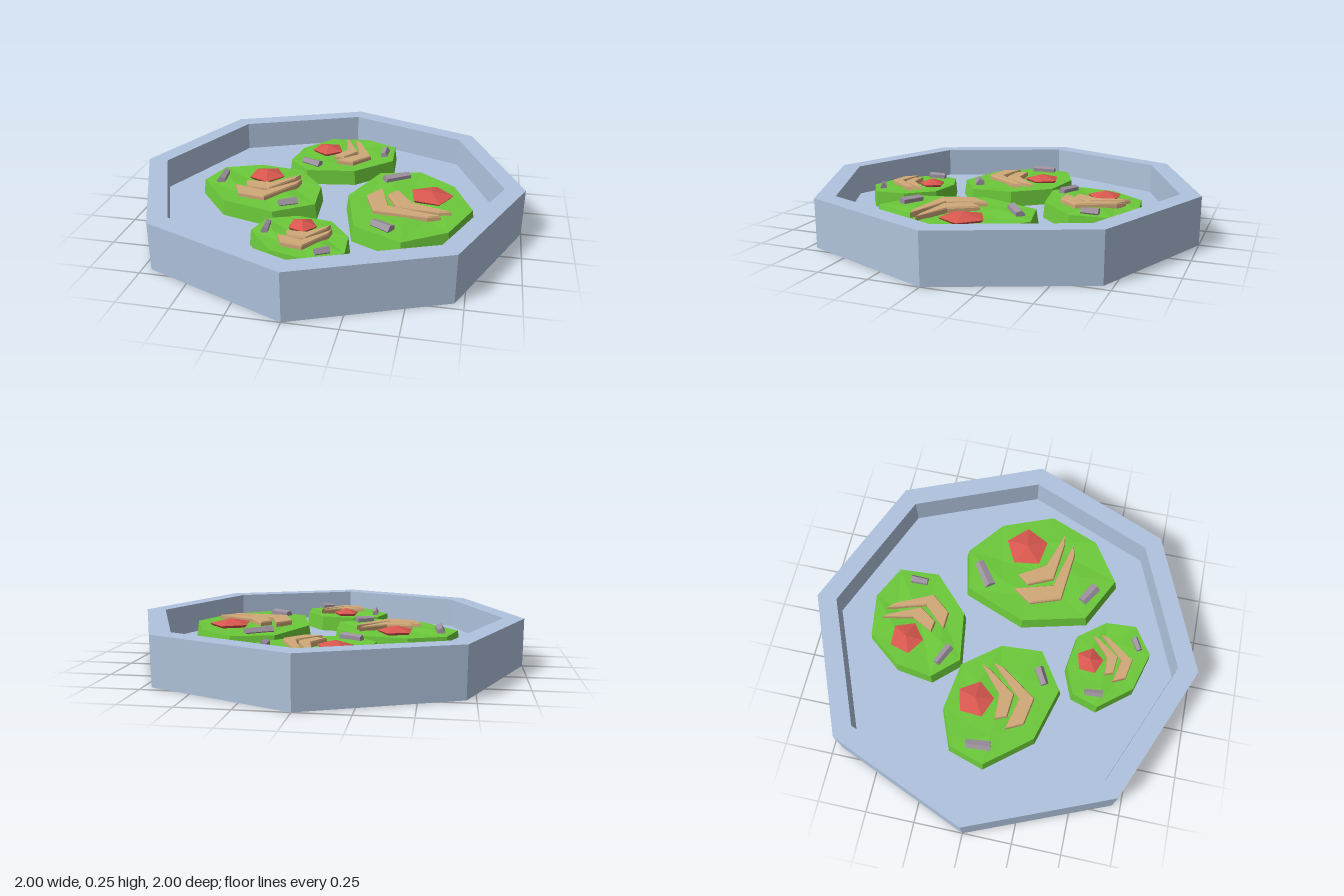
import * as THREE from 'three';

const FLOOR = 0.088, TOP = 0.168;
const mat = (color) => new THREE.MeshStandardMaterial({ color, flatShading: true });

// Closes a stack of equal-sized rings (clockwise from above) with a fan at the top
function loft(rings, apex) {
  const n = rings[0].length, index = [], last = (rings.length - 1) * n;
  for (let i = 0; i < n; i++) {
    const j = (i + 1) % n;
    for (let r = 0; r < last; r += n) index.push(r + j, r + i, n + r + i, r + j, n + r + i, n + r + j);
    index.push(last + j, last + i, rings.length * n);
  }
  const geo = new THREE.BufferGeometry();
  geo.setAttribute('position', new THREE.Float32BufferAttribute([...rings.flat(), apex].flat(), 3));
  geo.setIndex(index);
  geo.computeVertexNormals();
  return geo;
}

const OUTLINE = [[-0.075, -0.275], [0.17, -0.24], [0.32, -0.05], [0.335, 0.17],
  [0.14, 0.3], [-0.145, 0.22], [-0.33, -0.01], [-0.272, -0.197]];
const CHEVRONS = [
  [[-0.085, 0.0], [-0.06, 0.06], [0.06, 0.07], [0.165, -0.075], [0.182, -0.123], [0.05, -0.005]],
  [[-0.125, 0.06], [-0.08, 0.15], [0.06, 0.175], [0.19, -0.01], [0.202, -0.065], [0.045, 0.1]],
];

function createIsland(name, x, z, scale, turn) {
  const island = new THREE.Group();
  island.name = name;
  const add = (part, geo, material) => {
    const mesh = new THREE.Mesh(geo, material);
    mesh.name = part;
    island.add(mesh);
    return mesh;
  };

  // Low slab with slightly uneven top
  const ring = (s, y) => OUTLINE.map(([px, pz], i) => [px * s, y(i), pz * s]);
  add('slab', loft([ring(1, () => FLOOR), ring(0.965, () => TOP),
    ring(0.5, (i) => TOP + 0.006 * Math.sin(i * 2.4))], [0, TOP - 0.003, 0]), mat(0x6cc93a));

  // Five-sided gem
  const gem = add('gem', new THREE.LatheGeometry([[0.07, -0.02], [0.097, 0.012], [0, 0.038]]
    .map(([r, y]) => new THREE.Vector2(r, y)), 5, 0.25), mat(0xd9584f));
  gem.position.set(-0.004, TOP, -0.118);

  // Two nested chevrons, narrower at the top
  for (const path of CHEVRONS) {
    const shape = new THREE.Shape(path.map(([px, pz]) => new THREE.Vector2(px, -pz)));
    const geo = new THREE.ExtrudeGeometry(shape, { depth: 0.022, bevelEnabled: true,
      bevelThickness: 0.008, bevelSize: 0.004, bevelOffset: -0.004, bevelSegments: 1 });
    geo.rotateX(-Math.PI / 2);
    add('chevron', geo, mat(0xd0a878)).position.y = TOP - 0.006;
  }

  // Lying pebbles
  for (const [px, pz, length, angle] of [[-0.228, -0.053, 0.125, 1.48], [0.187, 0.187, 0.095, -0.52]]) {
    const geo = new THREE.CylinderGeometry(0.022, 0.026, length, 5);
    geo.rotateZ(Math.PI / 2);
    const pebble = add('pebble', geo, mat(0x9d929f));
    pebble.position.set(px, TOP + 0.008, pz);
    pebble.rotation.y = -angle;
  }

  island.position.set(x, 0, z);
  island.scale.set(scale, 1, scale);
  island.rotation.y = turn;
  return island;
}

export function createModel() {
  const model = new THREE.Group();
  model.name = 'dish';

  // Octagonal tray
  const profile = [[0, 0], [1, 0], [1, 0.245], [0.897, 0.245], [0.897, FLOOR], [0, FLOOR]];
  const tray = new THREE.Mesh(
    new THREE.LatheGeometry(profile.map(([r, y]) => new THREE.Vector2(r, y)), 8), mat(0xb0c4de));
  tray.name = 'tray';
  model.add(tray);

  // Four islands
  const third = Math.PI / 3;
  model.add(
    createIsland('rightIsland', -0.353, 0.043, 1, 0),
    createIsland('leftIsland', 0.417, 0.086, 1.18, -third),
    createIsland('backIsland', -0.011, -0.449, 0.92, third),
    createIsland('frontIsland', -0.03, 0.543, 0.735, 0),
  );
  return model;
}
